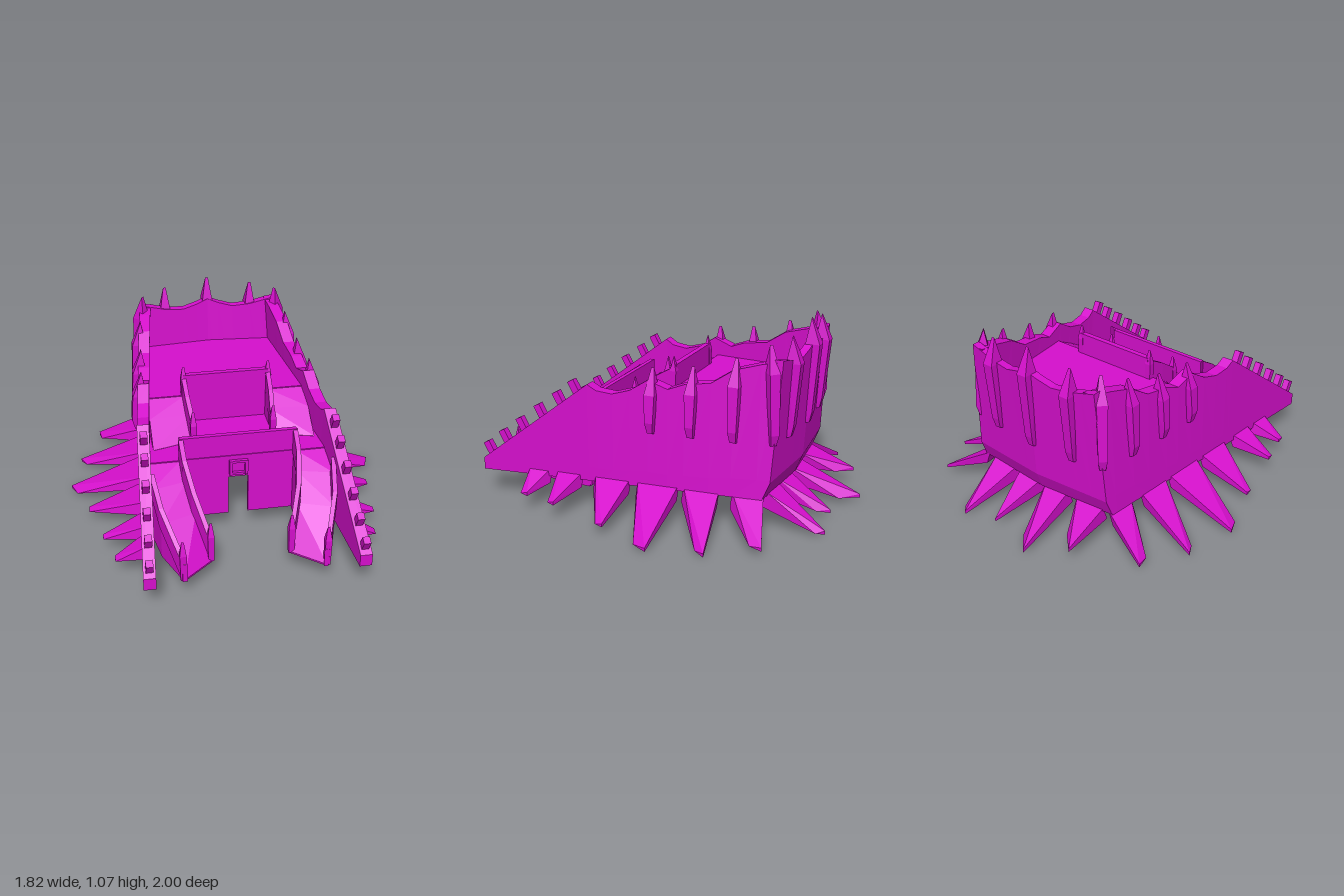
import * as THREE from 'three';
import { ConvexGeometry } from 'three/addons/geometries/ConvexGeometry.js';

const V = (x, y, z) => new THREE.Vector3(x, y, z);
const lerp = THREE.MathUtils.lerp;

export function createModel() {
  const group = new THREE.Group();
  const magenta = new THREE.MeshStandardMaterial({ color: 0xd60fcd });
  magenta.name = 'magenta';

  const add = (name, geometry) => {
    const mesh = new THREE.Mesh(geometry, magenta);
    mesh.name = name;
    group.add(mesh);
    return mesh;
  };
  const hull = (name, points) => add(name, new ConvexGeometry(points));
  const box = (name, x0, x1, y0, y1, z0, z1) => {
    const g = new THREE.BoxGeometry(x1 - x0, y1 - y0, z1 - z0);
    g.translate((x0 + x1) / 2, (y0 + y1) / 2, (z0 + z1) / 2);
    return add(name, g);
  };

  // Closed faceted solid through matching cross-sections, always facing outward
  const loft = (name, sections) => {
    const tris = [];
    const n = sections[0].length;
    for (let i = 0; i + 1 < sections.length; i++) {
      for (let j = 0; j < n; j++) {
        const k = (j + 1) % n;
        const a = sections[i], b = sections[i + 1];
        tris.push([a[j], a[k], b[k]], [a[j], b[k], b[j]]);
      }
    }
    const first = sections[0], last = sections[sections.length - 1];
    for (let j = 1; j + 1 < n; j++) {
      tris.push([first[0], first[j + 1], first[j]], [last[0], last[j], last[j + 1]]);
    }
    let volume = 0;
    for (const [a, b, c] of tris) volume += a.dot(b.clone().cross(c));
    if (volume < 0) tris.forEach((t) => t.reverse());
    const g = new THREE.BufferGeometry().setFromPoints(tris.flat());
    g.computeVertexNormals();
    return add(name, g);
  };

  // Outer surfaces of the leaning side and back walls
  const outerX = (z, y) => {
    const lean = 0.045 * THREE.MathUtils.clamp((0.34 - z) / 1.04, 0, 1);
    return 0.513 + 0.078 * z - lean * (y - 0.2) / 0.73;
  };
  const backZ = (y) => y < 0.3
    ? lerp(-0.63, -0.67, (y - 0.2) / 0.1)
    : lerp(-0.67, -0.71, (y - 0.3) / 0.63);

  // Side walls: z and top height of each station
  const crest = [[0.99, 0.23], [0.34, 0.73], [0.29, 0.7], [0.2, 0.69], [0.1, 0.72], [0, 0.785],
    [-0.11, 0.745], [-0.2, 0.78], [-0.34, 0.8], [-0.46, 0.88], [-0.6, 0.92]];
  for (const s of [1, -1]) {
    const section = (top, bottom, zAt) => {
      const ys = [bottom, lerp(bottom, top, 0.15), top];
      const pts = ys.map((y) => V(s * outerX(zAt(y), y), y, zAt(y)));
      ys.reverse().forEach((y) => pts.push(V(s * (outerX(zAt(y), y) - 0.065), y, zAt(y))));
      return pts;
    };
    const sections = crest.map(([z, top]) => section(top, lerp(0.16, 0.2, (1 - z) / 1.6), () => z));
    sections.push(section(0.94, 0.2, backZ));
    loft('sideWall', sections);

    // Studs up the sloping front edge of the wall
    for (const [z, y] of [[0.96, 0.28], [0.86, 0.36], [0.75, 0.445], [0.635, 0.535], [0.52, 0.62], [0.425, 0.695]]) {
      const stud = add('wallStud', new THREE.BoxGeometry(0.038, 0.09, 0.04));
      stud.position.set(s * (outerX(z, y) - 0.033), y, z);
      stud.rotation.x = 0.5;
    }
  }

  // Scalloped back wall, slightly bowed
  const backCrest = [[-1, 0.95], [-0.8, 0.93], [-0.62, 0.91], [-0.36, 0.9], [-0.15, 0.925], [0, 0.95],
    [0.15, 0.925], [0.36, 0.9], [0.62, 0.91], [0.8, 0.93], [1, 0.95]];
  loft('backWall', backCrest.map(([f, top]) => {
    const bow = 0.035 * (1 - Math.abs(f));
    const ys = [0.2, 0.3, top];
    const at = (y, inset) => V(f * outerX(-0.68, y), y, backZ(y) - bow + inset);
    return [...ys.map((y) => at(y, 0)), ...ys.reverse().map((y) => at(y, 0.045))];
  }));

  // Pointed ribs clasping the walls; local +z points away from the wall
  const rib = (x, z, turn, top, lean) => {
    const pts = [];
    for (const s of [1, -1]) {
      pts.push(V(s * 0.016, 0.49, -0.01), V(s * 0.016, 0.5, 0.02), V(s * 0.024, 0.56, 0.035),
        V(s * 0.03, top - 0.14, 0.05 - lean), V(s * 0.008, top, -0.005 - lean),
        V(s * 0.03, top - 0.14, -0.03 - lean));
    }
    const mesh = hull('wallRib', pts);
    mesh.position.set(x, 0, z);
    mesh.rotation.y = turn;
  };
  for (const [x, top] of [[-0.26, 1.04], [0, 1.08], [0.26, 1.04]]) {
    rib(x, backZ(0.5) - 0.035 * (1 - Math.abs(x) / 0.46), Math.PI, top, -0.015);
  }
  for (const s of [1, -1]) {
    for (const [z, top] of [[-0.02, 0.85], [-0.24, 0.875], [-0.47, 0.94]]) {
      rib(s * outerX(z, 0.5), z, s * Math.PI / 2, top, 0.025);
    }
    rib(s * 0.425, -0.665, s * 2.35, 1.02, 0.03);
  }

  // Spikes: base span on the wall, tip edge beyond it
  const spike = (b0, b1, t0, t1, tipY, inward) => {
    const pts = [];
    for (const b of [b0, b1]) pts.push(V(b[0], 0.215, b[1]), V(b[0] + inward[0], 0.13, b[1] + inward[1]));
    pts.push(V(t0[0], tipY + 0.02, t0[1]), V(t0[0], tipY, t0[1]), V(t1[0], tipY + 0.012, t1[1]));
    hull('baseSpike', pts);
  };
  // Each row: base z start, base z end, tip x and z, second tip x and z, tip height
  const sideSpikes = [
    [-0.63, -0.46, 0.71, -0.72, 0.7, -0.65, 0.04], [-0.39, -0.19, 0.84, -0.46, 0.81, -0.4, 0.015],
    [-0.165, 0.07, 0.91, -0.17, 0.88, -0.09, 0.02], [0.11, 0.32, 0.82, 0.12, 0.82, 0.16, 0.06],
    [0.39, 0.54, 0.76, 0.445, 0.76, 0.48, 0.1], [0.58, 0.71, 0.71, 0.64, 0.71, 0.68, 0.1]];
  for (const s of [1, -1]) {
    for (const [z0, z1, x2, z2, x3, z3, y] of sideSpikes) {
      spike([s * (outerX(z0, 0.2) - 0.03), z0], [s * (outerX(z1, 0.2) - 0.03), z1],
        [s * x2, z2], [s * x3, z3], y, [s * 0.03, 0]);
    }
  }
  for (const [x0, x1, x2, z2, x3, z3, y] of [
    [-0.4, -0.22, -0.39, -0.9, -0.3, -0.81, 0.09], [-0.16, 0, -0.16, -1, -0.07, -0.9, 0.03],
    [0.03, 0.19, 0.13, -0.91, 0.165, -0.84, 0.04], [0.22, 0.385, 0.335, -0.94, 0.375, -0.9, 0.01]]) {
    spike([x0, -0.63], [x1, -0.63], [x2, z2], [x3, z3], y, [0, 0.03]);
  }

  // Upper deck, middle floor and the step between them
  const slab = (name, y, ends) => loft(name, ends.map(([x, z]) =>
    [V(-x, y, z), V(x, y, z), V(x, y - 0.02, z), V(-x, y - 0.02, z)]));
  slab('upperDeck', 0.68, [[0.39, -0.69], [0.455, -0.02]]);
  slab('middleFloor', 0.51, [[0.46, -0.04], [0.495, 0.38]]);
  box('stepWall', -0.455, 0.455, 0.49, 0.68, -0.045, -0.02);
  box('upperParapet', -0.24, 0.24, 0.67, 0.805, -0.05, -0.02);
  box('lowerParapet', -0.32, 0.32, 0.5, 0.64, 0.35, 0.375);

  // Front wall with a doorway
  const wall = new THREE.Shape();
  [[-0.5, 0.13], [-0.055, 0.13], [-0.055, 0.37], [0.055, 0.37], [0.055, 0.13], [0.5, 0.13], [0.5, 0.51], [-0.5, 0.51]]
    .forEach(([x, y], i) => (i ? wall.lineTo(x, y) : wall.moveTo(x, y)));
  const wallGeometry = new THREE.ExtrudeGeometry(wall, { depth: 0.025, bevelEnabled: false });
  wallGeometry.translate(0, 0, 0.35);
  add('frontWall', wallGeometry);

  // Square frame above the door
  for (const s of [1, -1]) {
    box('doorFrameSide', s * 0.043 - 0.008, s * 0.043 + 0.008, 0.39, 0.48, 0.37, 0.395);
    box('doorFrameBar', -0.04, 0.04, 0.435 + s * 0.038 - 0.007, 0.435 + s * 0.038 + 0.007, 0.37, 0.392);
  }

  // Rail along [x, floor height, z] points
  const rail = (name, path, height) => loft(name, path.map(([x, y, z]) => [V(x - 0.013, y - 0.03, z),
    V(x + 0.013, y - 0.03, z), V(x + 0.013, y + height, z), V(x - 0.013, y + height, z)]));
  const post = (x, y0, y1, z) => {
    const pts = [];
    for (const a of [1, -1]) {
      for (const b of [1, -1]) {
        pts.push(V(x + a * 0.015, y0, z + b * 0.015), V(x + a * 0.018, y1 - 0.08, z + b * 0.018));
      }
      pts.push(V(x + a * 0.006, y1, z));
    }
    hull('railPost', pts);
  };

  for (const s of [1, -1]) {
    // Ramp from the upper deck to the middle floor
    loft('upperRamp', [[-0.03, -0.03, 0.68], [0.08, 0.1, 0.61], [0.2, 0.26, 0.511]].map(([zi, zo, y]) => [
      V(s * 0.225, y, zi), V(s * 0.45, y, zo), V(s * 0.45, 0.495, zo), V(s * 0.225, 0.495, zi)]));
    rail('upperRampRail', [[s * 0.24, 0.68, -0.04], [s * 0.235, 0.61, 0.08], [s * 0.222, 0.52, 0.21]], 0.115);
    post(s * 0.24, 0.66, 0.85, -0.035);
    post(s * 0.222, 0.5, 0.7, 0.21);

    // Curving ramp from the middle floor to the ground
    const inner = [[0.305, 0.51, 0.365], [0.3, 0.44, 0.48], [0.272, 0.33, 0.62], [0.205, 0.13, 0.77]];
    const outer = [[0.495, 0.51, 0.365], [0.492, 0.44, 0.53], [0.465, 0.33, 0.69], [0.375, 0.13, 0.91]];
    loft('lowerRamp', inner.map(([xi, y, zi], i) => [V(s * xi, y, zi), V(s * outer[i][0], y, outer[i][2]),
      V(s * outer[i][0], 0.12, outer[i][2]), V(s * xi, 0.12, zi)]));
    rail('innerRampRail', inner.map(([x, y, z]) => [s * (x + 0.008), y + 0.02, z]), 0.11);
    rail('outerRampRail', outer.slice(1).map(([x, y, z]) => [s * (x - 0.005), y + 0.02, z]), 0.08);
    post(s * 0.215, 0.125, 0.36, 0.762);
    post(s * 0.378, 0.125, 0.36, 0.892);
  }
  return group;
}
